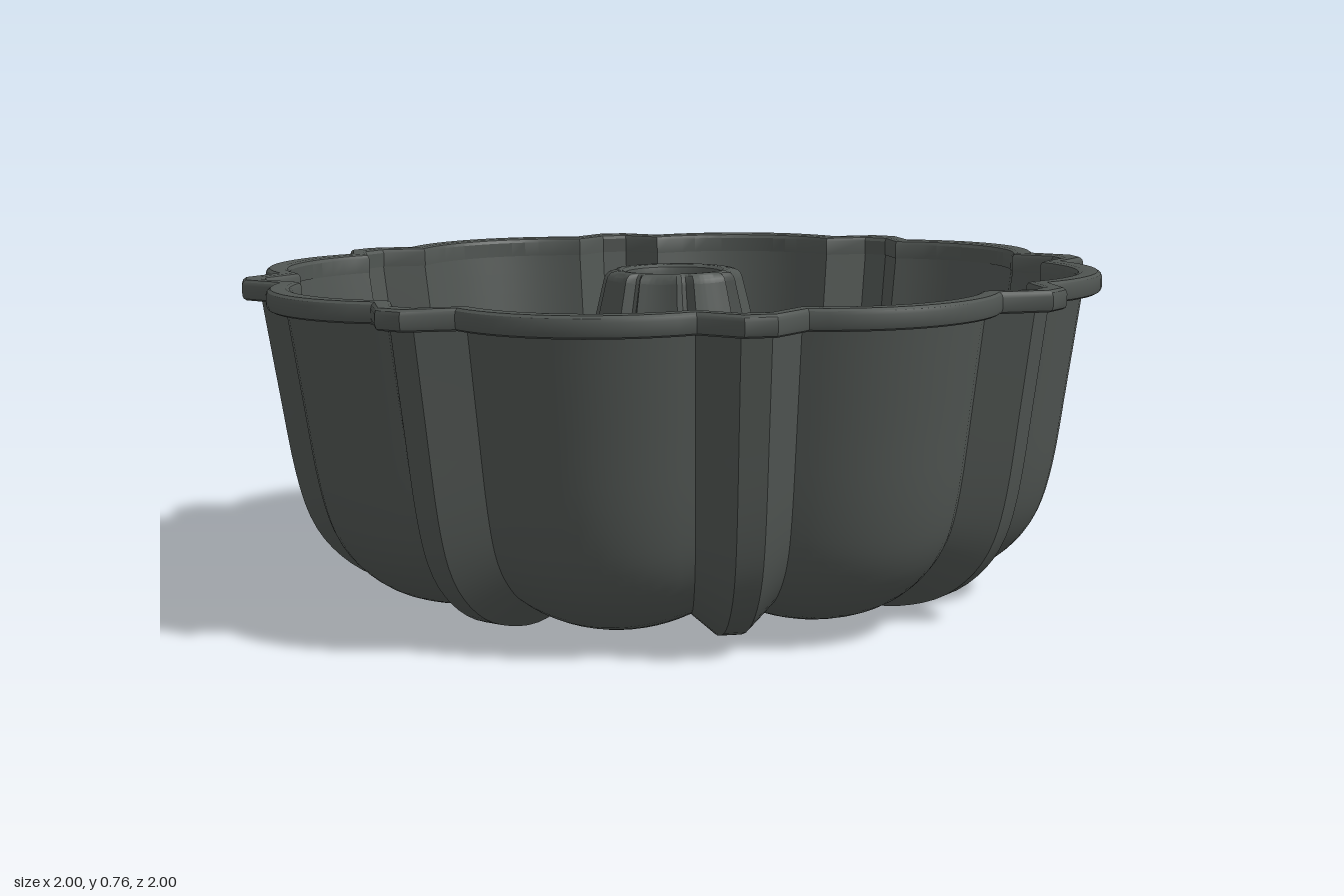
import * as THREE from 'three';
import { toCreasedNormals } from 'three/addons/utils/BufferGeometryUtils.js';

const SECTORS = 8, DEPTH = 0.065, WALL = 0.012;

// Angular samples for one 45 degree sector: a round lobe, then a flat-topped rib.
const LOBE = 15.5, sector = [];
for (let i = 0; i <= 14; i++) {
  const t = -1 + i / 7;
  sector.push({ a: t * LOBE, lobe: 1 - t * t, rib: 0 });
}
sector.push({ a: 20.6, lobe: 0, rib: 1 }, { a: 24.4, lobe: 0, rib: 1 });

const spokes = [];
for (let k = 0; k < SECTORS; k++)
  for (const s of sector) spokes.push({ ...s, a: THREE.MathUtils.degToRad(s.a + k * 360 / SECTORS) });

// Outward bulge of the wall for a spoke, at fluting strength w
const bulge = (s, w) => DEPTH * w * (s.lobe + s.rib * (1.08 + (1 - w) * 0.6));

// Closed ring of cross-sections: point(row, spoke) gives [radius, height]
function sweep(rows, point, { flip = false, closed = false } = {}) {
  const n = spokes.length, pos = [], index = [];
  for (let i = 0; i < rows; i++)
    for (const s of spokes) {
      const [r, y] = point(i, s);
      pos.push(r * Math.sin(s.a), y, r * Math.cos(s.a));
    }
  for (let i = 0; i < (closed ? rows : rows - 1); i++)
    for (let j = 0; j < n; j++) {
      const i2 = (i + 1) % rows, j2 = (j + 1) % n;
      const a = i * n + j, b = i * n + j2, c = i2 * n + j2, d = i2 * n + j;
      if (flip) index.push(a, c, b, a, d, c);
      else index.push(a, b, c, a, c, d);
    }
  const g = new THREE.BufferGeometry();
  g.setAttribute('position', new THREE.Float32BufferAttribute(pos, 3));
  g.setIndex(index);
  return toCreasedNormals(g, 0.55);
}

export function createModel() {
  const metal = new THREE.MeshStandardMaterial({ color: 0x505552 });
  const group = new THREE.Group();
  group.name = 'flutedCakePan';
  const add = (name, geometry) => {
    const mesh = new THREE.Mesh(geometry, metal);
    mesh.name = name;
    group.add(mesh);
    return mesh;
  };

  // Profile from the top of the hub, across the floor, up to the rim: radius, height, fluting
  const profile = new THREE.CatmullRomCurve3([
    [0.152, 0.72, 0.2], [0.205, 0.5, 0.22], [0.255, 0.3, 0.27], [0.3, 0.2, 0.33],
    [0.37, 0.115, 0.4], [0.46, 0.066, 0.46], [0.56, 0.05, 0.5], [0.67, 0.075, 0.6],
    [0.755, 0.135, 0.8], [0.805, 0.215, 0.95], [0.83, 0.31, 1], [0.86, 0.5, 1], [0.892, 0.715, 1],
  ].map(p => new THREE.Vector3(...p)), false, 'centripetal');
  const ROWS = 49, section = [];
  for (let i = 0; i < ROWS; i++) {
    const u = i / (ROWS - 1), p = profile.getPoint(u), t = profile.getTangent(u);
    const len = Math.hypot(t.x, t.y);
    section.push({ r: p.x, y: p.y, w: p.z, nr: t.y / len, ny: -t.x / len });
  }
  const shell = inset => (i, s) => {
    const p = section[i], d = bulge(s, p.w) - inset;
    return [p.r + p.nr * d, p.y + p.ny * d];
  };
  add('outerShell', sweep(ROWS, shell(0)));
  add('innerShell', sweep(ROWS, shell(WALL), { flip: true }));

  // Rolled lip following the fluted outline
  const lip = [[-0.014, 0.7], [0.034, 0.7], [0.041, 0.704], [0.044, 0.712], [0.044, 0.734],
    [0.041, 0.742], [0.034, 0.747], [0, 0.747], [-0.009, 0.744], [-0.014, 0.736]];
  add('rimLip', sweep(lip.length, (i, s) => [0.89 + bulge(s, 1) + lip[i][0], lip[i][1]], { closed: true }));

  // Scalloped crown of the hub, with a shallow round recess
  const crown = [[0.165, 0.715, 1], [0.161, 0.73, 1], [0.152, 0.739, 0.9], [0.138, 0.743, 0.5],
    [0.12, 0.742, 0], [0.112, 0.736, 0], [0.109, 0.725, 0], [0.108, 0.695, 0]];
  add('hubCrown', sweep(crown.length, (i, s) => {
    const [r, y, f] = crown[i];
    return [r - bulge(s, 0.2) * f, y];
  }));
  const cap = add('hubCap', new THREE.CylinderGeometry(0.145, 0.145, 0.008, 48));
  cap.position.y = 0.697;

  // The pan sits very slightly tilted
  const model = new THREE.Group();
  model.name = 'cakePan';
  group.rotation.z = 0.0125;
  group.position.set(0.009, 0.003, 0);
  model.add(group);
  return model;
}
